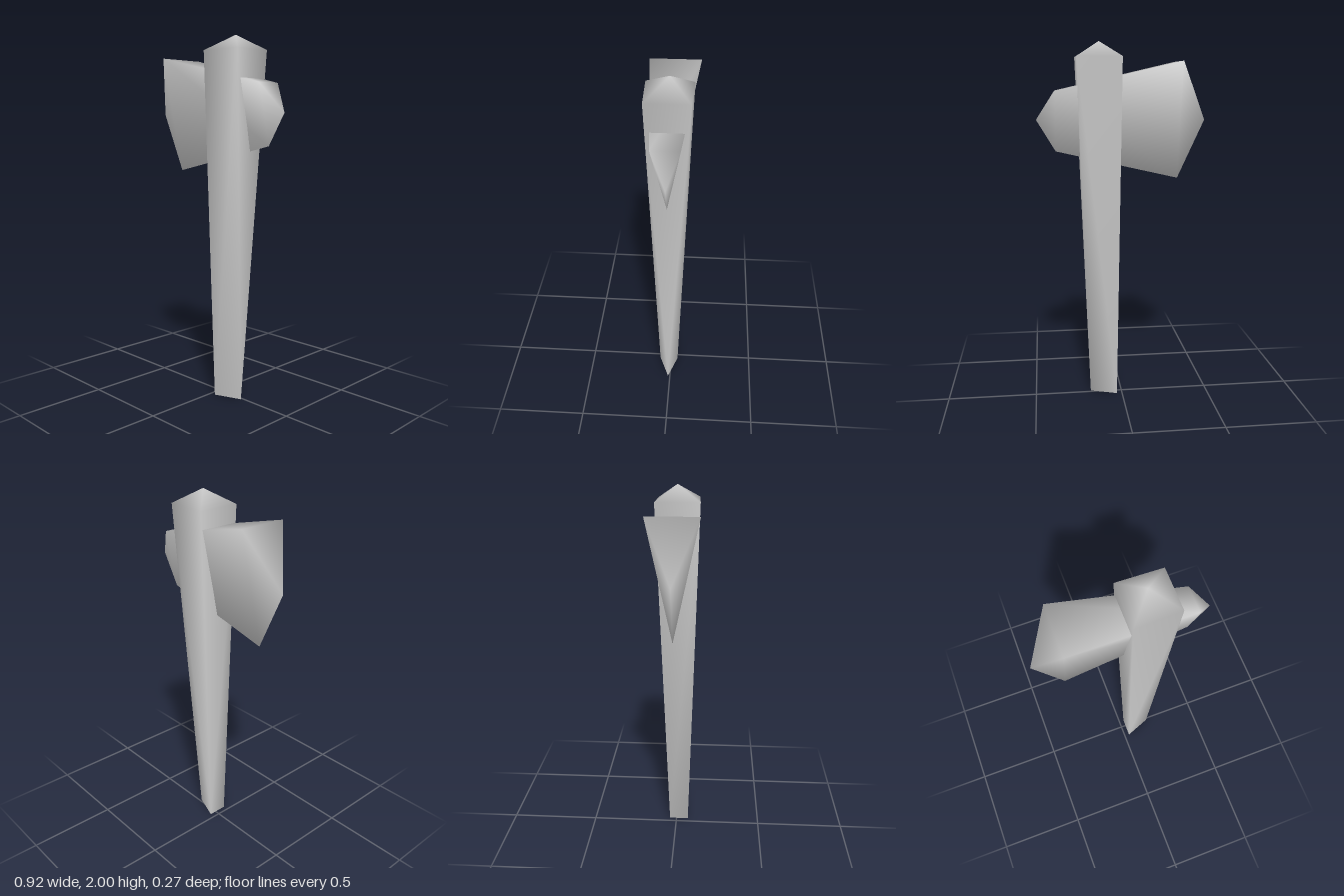
import * as THREE from 'three';
import { mergeVertices } from 'three/addons/utils/BufferGeometryUtils.js';

// Smooth solid between two matching rings, each closed by a tip.
// Rings run counter-clockwise seen from the end side; flips picks each side's diagonal.
function loft(startTip, startRing, endRing, endTip, flips = []) {
  const pos = [];
  const tri = (...points) => {
    const [a, b, c] = points.map((p) => new THREE.Vector3(...p));
    const area = b.clone().sub(a).cross(c.clone().sub(a)).length();
    if (area > 1e-6) pos.push(...points.flat());
  };
  const n = startRing.length;
  for (let i = 0; i < n; i++) {
    const j = (i + 1) % n;
    const a = startRing[i], b = startRing[j], c = endRing[j], d = endRing[i];
    tri(startTip, b, a);
    if (flips[i]) { tri(a, b, d); tri(b, c, d); } else { tri(a, b, c); tri(a, c, d); }
    tri(d, c, endTip);
  }
  const geometry = new THREE.BufferGeometry();
  geometry.setAttribute('position', new THREE.Float32BufferAttribute(pos, 3));
  const welded = mergeVertices(geometry);
  welded.computeVertexNormals();
  return welded;
}

export function createModel() {
  const group = new THREE.Group();
  const grey = new THREE.MeshStandardMaterial({ color: 0xcccccc });
  grey.name = 'grey';

  const add = (name, geometry) => {
    const mesh = new THREE.Mesh(geometry, grey);
    mesh.name = name;
    group.add(mesh);
  };

  // Handle: square below a pyramid top, narrowing to a triangular foot
  const foot = [[0.03, 0, 0.07], [0.18, 0, 0.012], [0.18, 0, 0.012], [0.03, 0, -0.04]];
  const shoulder = [[0.005, 1.92, 0.125], [0.245, 1.92, 0.118], [0.245, 1.92, -0.107], [0.005, 1.92, -0.115]];
  add('handle', loft([0.08, 0, 0.014], foot, shoulder, [0.12, 2, 0], [false, true, true, false]));

  // Axe head: wedge with a flat top and a sharp underside, pointed at both ends
  const wedge = (x, top, bottom, front, back) => [[x, top, front], [x, bottom, 0], [x, top, back]];
  add('axeHead', loft(
    [-0.46, 1.585, 0],
    wedge(-0.313, 1.897, 1.265, 0.135, -0.138),
    wedge(0.358, 1.743, 1.42, 0.08, -0.065),
    [0.46, 1.59, 0],
  ));

  return group;
}
